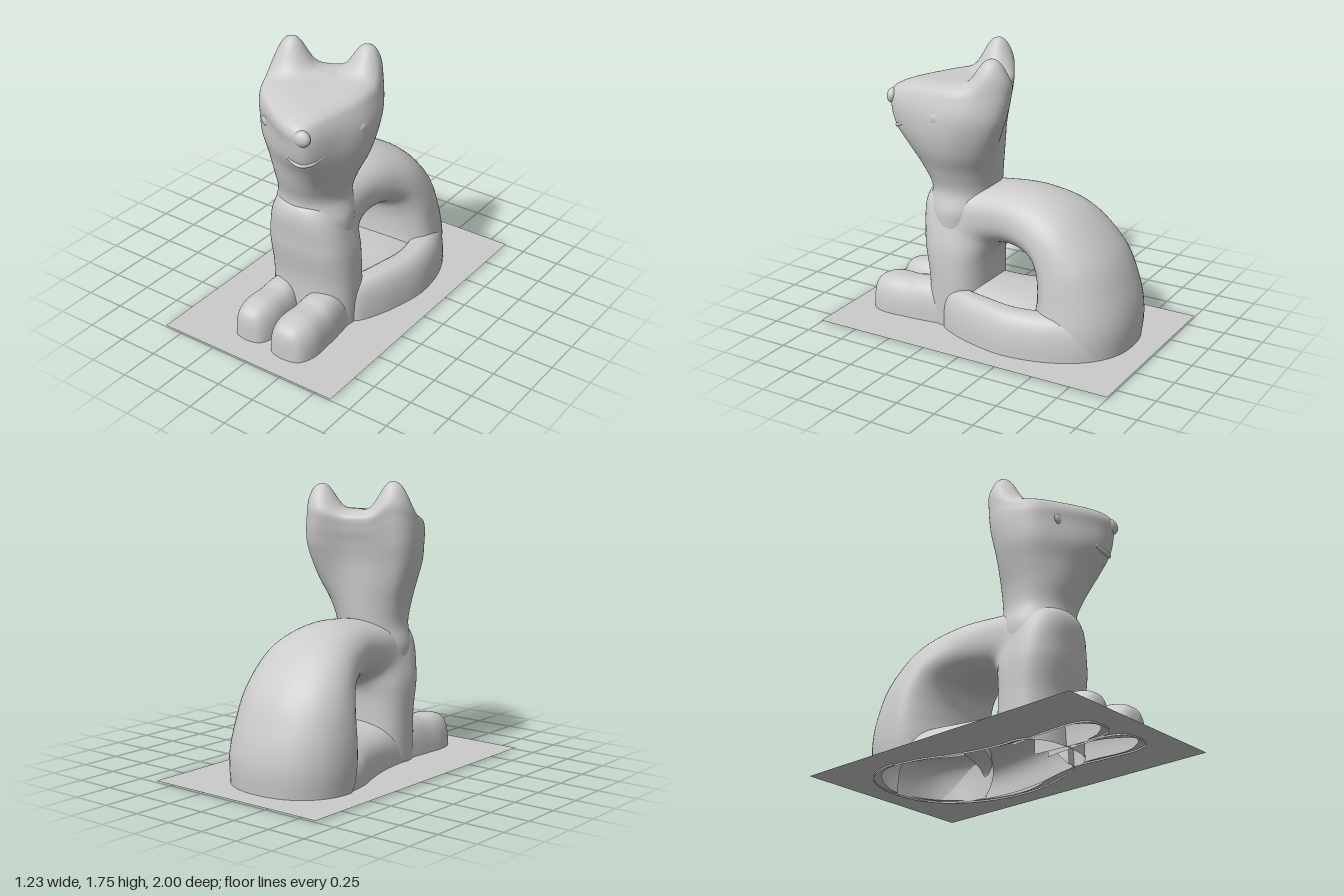
import * as THREE from 'three';

const material = new THREE.MeshStandardMaterial({ color: 0xcccccc, side: THREE.DoubleSide });

// Smoothly interpolates every column of a table of cross-sections.
function smoothRows(rows, steps) {
  const columns = rows[0].map((_, c) =>
    new THREE.SplineCurve(rows.map((r, i) => new THREE.Vector2(i, r[c]))));
  return Array.from({ length: steps + 1 }, (_, i) => columns.map((s) => s.getPoint(i / steps).y));
}

// Skins cross-sections; place(row, t) gives the point at t = 0..1 around a section.
function loft(rows, place, closed, steps, sides) {
  const points = [], index = [];
  const count = closed ? sides : sides + 1;
  for (const row of smoothRows(rows, steps)) {
    for (let j = 0; j < count; j++) points.push(...place(row, j / sides));
  }
  for (let i = 0; i < steps; i++) {
    for (let j = 0; j < sides; j++) {
      const a = i * count + j, b = i * count + ((j + 1) % count);
      index.push(a, b, a + count, b, b + count, a + count);
    }
  }
  const geometry = new THREE.BufferGeometry();
  geometry.setAttribute('position', new THREE.Float32BufferAttribute(points, 3));
  geometry.setIndex(index);
  geometry.computeVertexNormals();
  return geometry;
}

// Rounded-square sine and cosine.
const soft = (v, p) => Math.sign(v) * Math.abs(v) ** p;

export function createModel() {
  const model = new THREE.Group();
  const add = (name, geometry, x = 0, y = 0, z = 0) => {
    const mesh = new THREE.Mesh(geometry, material);
    mesh.name = name;
    mesh.position.set(x, y, z);
    model.add(mesh);
    return mesh;
  };

  // Chest, back and rump as one arch: inner z, y, outer z, y, x from, x to, squareness,
  // widest place between inner and outer, lift of the inner edge above the hollow
  const arch = [
    [0.08, 0, 0.48, 0, -0.27, 0.29, 0.8, 0.5, 0.22],
    [0.09, 0.28, 0.48, 0.3, -0.27, 0.295, 0.8, 0.5, 0],
    [0.08, 0.45, 0.52, 0.58, -0.27, 0.285, 0.8, 0.5, 0],
    [0.03, 0.53, 0.49, 0.85, -0.24, 0.24, 0.85, 0.5, 0],
    [-0.04, 0.555, 0.1, 0.91, -0.24, 0.22, 0.85, 0.5, 0],
    [-0.16, 0.55, -0.2, 0.92, -0.29, 0.25, 0.9, 0.45, 0],
    [-0.25, 0.51, -0.47, 0.83, -0.36, 0.29, 0.9, 0.42, 0],
    [-0.28, 0.42, -0.7, 0.61, -0.42, 0.32, 0.9, 0.38, 0],
    [-0.28, 0.3, -0.81, 0.38, -0.45, 0.34, 0.9, 0.37, 0],
    [-0.27, 0.15, -0.855, 0.18, -0.455, 0.36, 0.9, 0.37, 0.09],
    [-0.26, 0, -0.845, 0, -0.44, 0.36, 0.9, 0.37, 0.22],
  ];
  add('body', loft(arch, ([zi, yi, zo, yo, x0, x1, p, wide, lift], t) => {
    const a = t * Math.PI * 2;
    const c = soft(Math.cos(a), p), s = soft(Math.sin(a), p);
    const k = wide + s * (s > 0 ? 1 - wide : wide);
    const y = yi + (yo - yi) * k + lift * Math.max(0, 1 - k / wide);
    return [(x0 + x1) / 2 + c * (x1 - x0) / 2, y, zi + (zo - zi) * k];
  }, true, 90, 56));

  // Belly floor under the opening: z, x from, x to, height
  const floor = [
    [-0.48, -0.43, 0.38, 0.25],
    [-0.3, -0.4, 0.4, 0.27],
    [-0.15, -0.345, 0.39, 0.275],
    [0, -0.3, 0.36, 0.275],
    [0.14, -0.275, 0.32, 0.28],
    [0.29, -0.262, 0.285, 0.27],
  ];
  add('bellyFloor', loft(floor, ([z, x0, x1, h], t) => {
    const a = t * Math.PI;
    return [(x0 + x1) / 2 + soft(Math.cos(a), 0.8) * (x1 - x0) / 2, h * soft(Math.sin(a), 0.6), z];
  }, false, 24, 48));

  // Tail wrapped along the left side, open towards the hollow:
  // x, z, sideways angle, half width, height
  const tail = [
    [-0.05, -0.73, 1.6, 0.1, 0.22],
    [0.17, -0.66, 1.0, 0.12, 0.25],
    [0.3, -0.47, 0.4, 0.12, 0.27],
    [0.35, -0.22, 0, 0.115, 0.27],
    [0.31, 0.02, -0.18, 0.11, 0.27],
    [0.255, 0.2, -0.25, 0.095, 0.26],
    [0.23, 0.28, -0.25, 0.065, 0.22],
    [0.22, 0.31, -0.25, 0, 0.14],
  ];
  add('tail', loft(tail, ([x, z, turn, w, h], t) => {
    const a = t * 2, c = w * soft(Math.cos(a), 0.75);
    return [x + c * Math.cos(turn), h * soft(Math.sin(a), 0.7), z - c * Math.sin(turn)];
  }, false, 48, 24));

  // Front paws: z, half width, height
  const paw = [
    [0.28, 0.1, 0.22],
    [0.4, 0.115, 0.25],
    [0.5, 0.125, 0.25],
    [0.58, 0.13, 0.235],
    [0.7, 0.135, 0.235],
    [0.79, 0.115, 0.215],
    [0.835, 0.075, 0.175],
    [0.85, 0, 0.1],
  ];
  for (const [name, x, scale, dz] of [['rightPaw', -0.128, 0.97, -0.015], ['leftPaw', 0.165, 1.1, 0.01]]) {
    const mesh = add(name, loft(paw, ([z, w, h], t) => {
      const a = t * Math.PI;
      return [w * soft(Math.cos(a), 0.75), h * soft(Math.sin(a), 0.7), z];
    }, false, 42, 28), x, 0, dz);
    mesh.scale.x = scale;
  }

  // Turned head outline seen from above (x, z), scaled to a unit square
  const outline = new THREE.CatmullRomCurve3([
    [-0.335, 0.25], [-0.27, 0.45], [-0.1, 0.59], [0.13, 0.705], [0.23, 0.69], [0.31, 0.47],
    [0.36, 0.25], [0.34, 0.08], [0.25, -0.08], [0.16, -0.11], [0, -0.02], [-0.2, 0.07], [-0.31, 0.15],
  ].map(([x, z]) => new THREE.Vector3((x - 0.0125) / 0.3475, 0, (z - 0.3) / 0.41)), true);

  // Ears rise smoothly out of the crown: x, z, height
  const ears = [[-0.23, 0.2, 0.182], [0.185, 0.005, 0.165]];
  const earRise = (x, z) => ears.reduce((sum, [ex, ez, h]) =>
    sum + h * Math.exp(-((Math.hypot(x - ex, z - ez) / 0.11) ** 2.6)), 0);

  // Neck and head: y, x from, x to, z from, z to, share of the outline, forward slope
  const head = [
    [0.6, -0.235, 0.25, 0.12, 0.49, 0, 0],
    [0.74, -0.246, 0.255, 0.08, 0.51, 0, 0],
    [0.87, -0.223, 0.227, 0.075, 0.505, 0, 0],
    [1.0, -0.24, 0.265, 0.05, 0.555, 0.2, 0],
    [1.13, -0.28, 0.325, 0.01, 0.615, 0.55, 0],
    [1.25, -0.315, 0.355, -0.03, 0.68, 0.85, 0],
    [1.37, -0.333, 0.362, -0.07, 0.705, 1, 0],
    [1.47, -0.335, 0.342, -0.095, 0.712, 1, 0.04],
    [1.545, -0.315, 0.305, -0.085, 0.67, 1, 0.1],
    [1.575, -0.2, 0.21, 0.03, 0.54, 1, 0.11],
    [1.575, 0.02, 0.02, 0.25, 0.25, 1, 0.11],
  ];
  add('headWithEars', loft(head, ([y, x0, x1, z0, z1, k, slope], t) => {
    const p = outline.getPoint(t);
    p.lerp(p.clone().normalize(), 1 - k);
    const x = (x0 + x1) / 2 + p.x * (x1 - x0) / 2, z = (z0 + z1) / 2 + p.z * (z1 - z0) / 2;
    const crown = THREE.MathUtils.smoothstep(y, 1.36, 1.56);
    return [x, y - slope * Math.max(z - 0.2, 0) + crown * earRise(x, z), z];
  }, true, 120, 112));

  // Face: nose, smile and faint eyes
  const ball = new THREE.SphereGeometry(1, 24, 16);
  add('nose', ball, 0.205, 1.425, 0.685).scale.set(0.055, 0.05, 0.037);
  add('rightEye', ball, -0.13, 1.38, 0.56).scale.set(0.045, 0.035, 0.014);
  add('leftEye', ball, 0.348, 1.37, 0.29).scale.set(0.015, 0.035, 0.045);
  const smile = new THREE.CatmullRomCurve3([
    [0.06, 1.285, 0.645], [0.1, 1.255, 0.66], [0.17, 1.237, 0.668], [0.23, 1.25, 0.645], [0.27, 1.285, 0.575],
  ].map((p) => new THREE.Vector3(...p)));
  add('smile', new THREE.TubeGeometry(smile, 32, 0.014, 10));

  // Thin ground sheet, open beneath the hollow figure (shape y is -z)
  const sheet = new THREE.Shape();
  sheet.moveTo(-0.617, -1).lineTo(0.617, -1).lineTo(0.617, 1).lineTo(-0.617, 1).closePath();
  const footprint = new THREE.CatmullRomCurve3([
    [-0.24, 0.7], [-0.13, 0.81], [-0.02, 0.7], [0.02, 0.52], [0.06, 0.7], [0.17, 0.84], [0.29, 0.7],
    [0.28, 0.4], [0.34, 0.1], [0.45, -0.2], [0.41, -0.48], [0.22, -0.74], [-0.04, -0.83],
    [-0.26, -0.74], [-0.4, -0.57], [-0.39, -0.38], [-0.29, -0.05], [-0.235, 0.3],
  ].map(([x, z]) => new THREE.Vector3(x, -z, 0)), true);
  sheet.holes.push(new THREE.Path(footprint.getPoints(108).map((p) => new THREE.Vector2(p.x, p.y))));
  add('groundSheet', new THREE.ShapeGeometry(sheet).rotateX(-Math.PI / 2), 0, 0.01, 0);

  return model;
}
